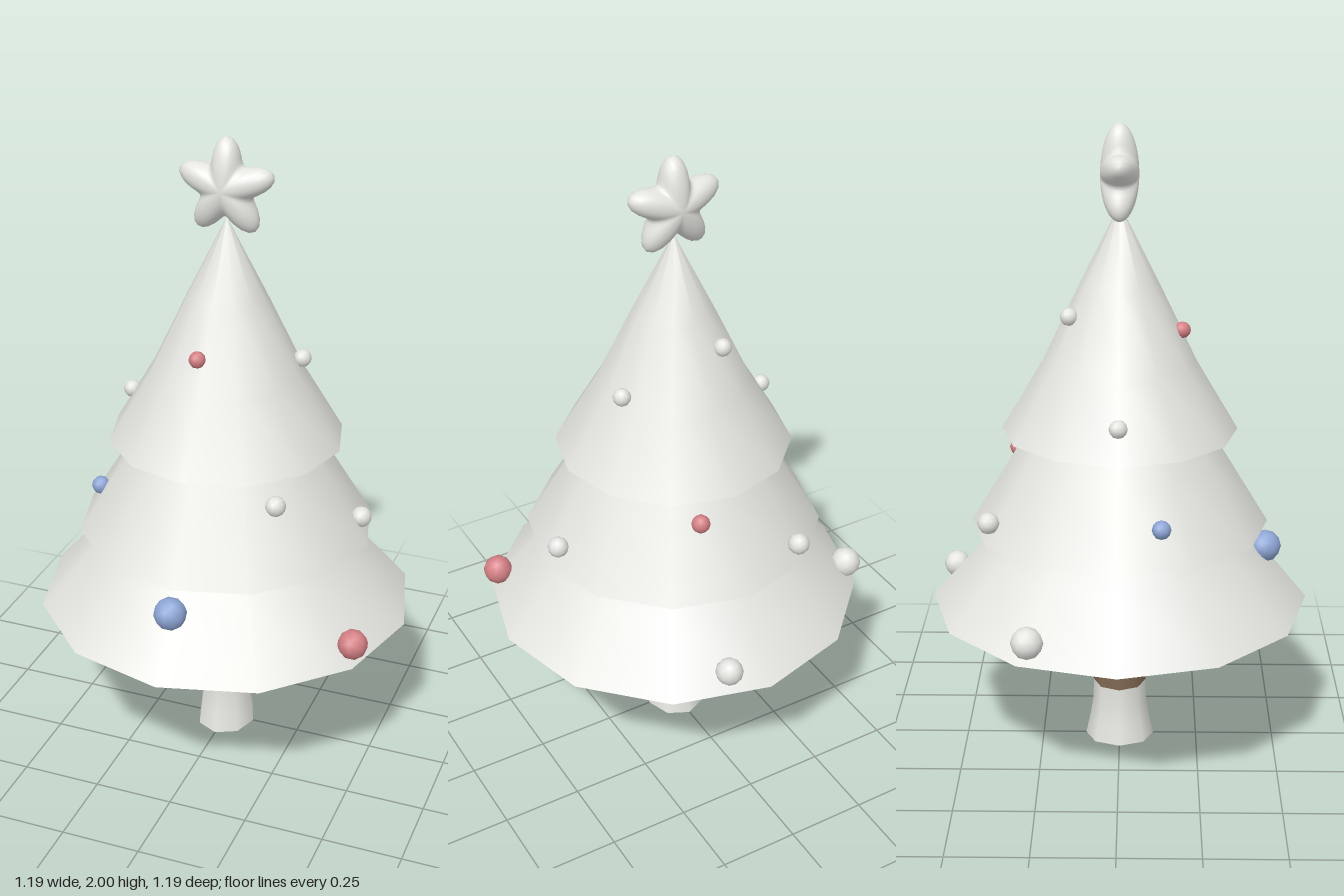
import * as THREE from 'three';
import { mergeVertices } from 'three/addons/utils/BufferGeometryUtils.js';

const material = (name, color) => {
  const m = new THREE.MeshStandardMaterial({ color });
  m.name = name;
  return m;
};

export function createModel() {
  const snow = material('snow', 0xe4e5e0);
  const bark = material('bark', 0x7f6751);
  const needles = material('needles', 0x6b7f58);
  const red = material('red', 0xd48085);
  const blue = material('blue', 0x8ea6d6);

  const tree = new THREE.Group();
  tree.name = 'snowyTree';
  const add = (name, geometry, mat, parent = tree) => {
    const mesh = new THREE.Mesh(geometry, mat);
    mesh.name = name;
    parent.add(mesh);
    return mesh;
  };
  const lathe = (points, sides) =>
    new THREE.LatheGeometry(points.map(([r, y]) => new THREE.Vector2(r, y)), sides);
  // Disc facing down
  const underside = (name, r, y, sides, mat) => {
    const g = new THREE.CircleGeometry(r, sides).rotateX(Math.PI / 2);
    add(name, g, mat).position.y = y;
  };

  // Trunk: bark above, snow-covered flared foot below
  add('trunk', lathe([[0.084, 0.195], [0.079, 0.34], [0.074, 0.5]], 8), bark);
  const foot = add('trunkFoot', lathe([[0, 0], [0.11, 0], [0.11, 0], [0.095, 0.07], [0.086, 0.13], [0.084, 0.195]], 8), snow);
  const fp = foot.geometry.attributes.position;
  for (let i = 0; i < fp.count; i++) {
    fp.setX(i, fp.getX(i) * (1 - 0.14 * (1 - fp.getY(i) / 0.195)));
  }
  underside('trunkCollar', 0.105, 0.491, 8, bark);

  // Three snowy tiers, flaring towards the rim
  const tiers = [
    ['lowerTier', [[0.595, 0.495], [0.43, 0.685], [0.36, 0.77], [0.2, 1.0]], needles],
    ['middleTier', [[0.465, 0.755], [0.325, 0.985], [0.26, 1.11], [0.1, 1.4]], snow],
    ['upperTier', [[0.365, 1.06], [0.235, 1.28], [0.12, 1.52], [0, 1.76]], snow],
  ];
  for (const [name, profile, below] of tiers) {
    add(name, lathe(profile, 12), snow);
    underside(name + 'Underside', profile[0][0], profile[0][1], 12, below);
  }

  // Baubles: x, y, z, radius
  const baubles = new THREE.Group();
  baubles.name = 'baubles';
  tree.add(baubles);
  const hang = (name, mat, list) => list.forEach(([x, y, z, r]) =>
    add(name, new THREE.IcosahedronGeometry(r, 1), mat, baubles).position.set(x, y, z));
  hang('redBauble', red, [
    [-0.02, 1.38, 0.19, 0.026], [0.505, 0.56, 0.263, 0.047], [0.09, 0.965, -0.32, 0.029],
  ]);
  hang('blueBauble', blue, [[-0.005, 0.67, 0.46, 0.051], [-0.375, 0.87, 0.128, 0.029]]);
  hang('snowyBauble', snow, [
    [0.243, 0.965, 0.232, 0.032], [0.43, 0.825, -0.043, 0.033], [0.217, 1.315, -0.075, 0.028],
    [-0.315, 1.16, 0, 0.028], [-0.08, 1.435, -0.15, 0.028], [-0.215, 0.825, -0.395, 0.034],
    [0.11, 0.555, -0.53, 0.043], [-0.495, 0.56, -0.265, 0.049],
  ]);

  // Puffy star: a flattened sphere with five lobes
  let star = new THREE.SphereGeometry(1, 60, 20).rotateX(Math.PI / 2);
  star.deleteAttribute('uv');
  star.deleteAttribute('normal');
  star = mergeVertices(star, 1e-4);
  const p = star.attributes.position;
  for (let i = 0; i < p.count; i++) {
    const x = p.getX(i), y = p.getY(i);
    const r = 0.118 + 0.034 * Math.cos(5 * Math.atan2(x, y));
    p.setXYZ(i, x * r, y * r, p.getZ(i) * 0.058);
  }
  star.computeVertexNormals();
  add('star', star, snow).position.y = 1.848;

  return tree;
}
